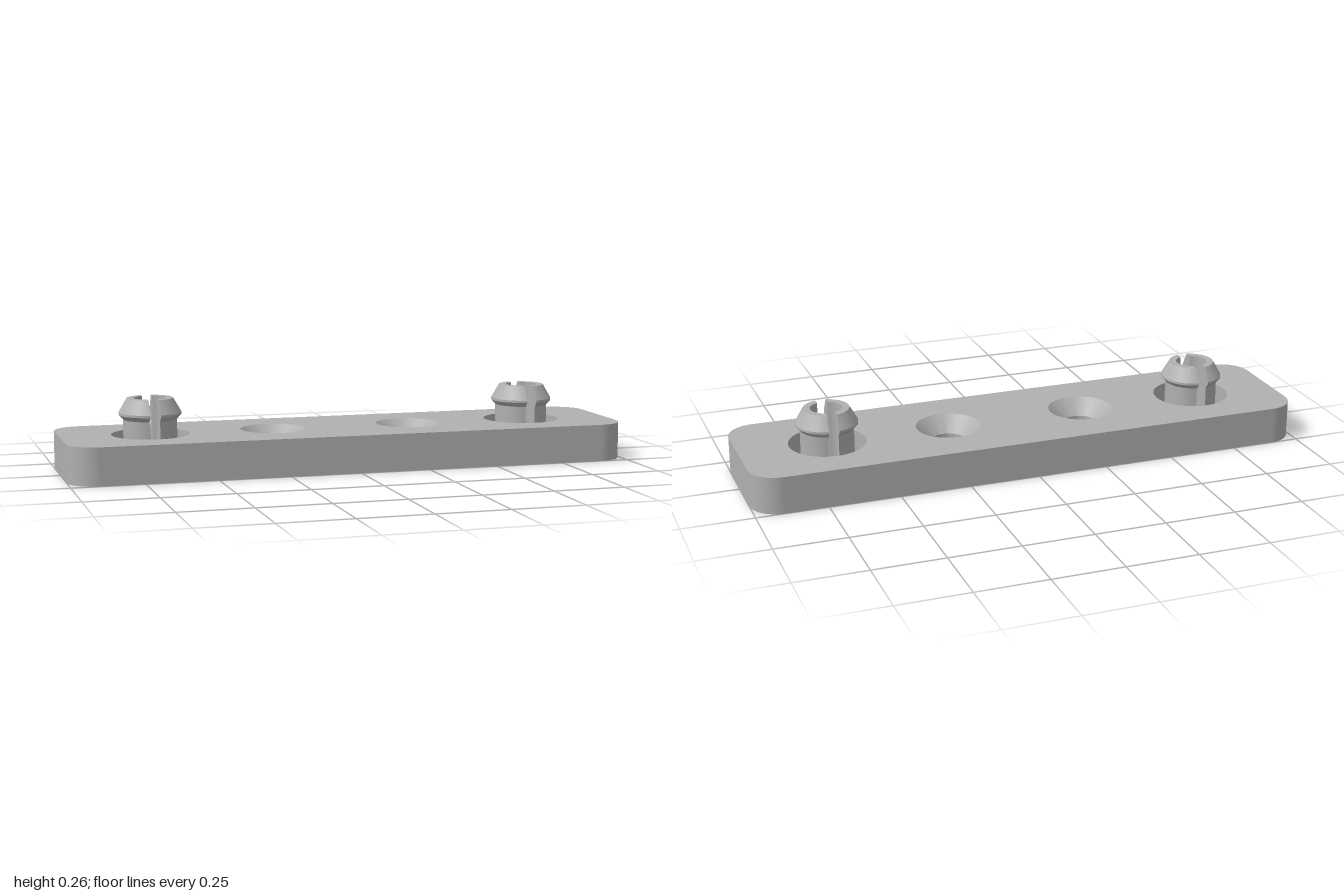
import * as THREE from 'three';
import { toCreasedNormals } from 'three/addons/utils/BufferGeometryUtils.js';

const HEIGHT = 0.131, HALF_X = 1, HALF_Z = 0.25, CORNER = 0.1;
const HOLE_X = 0.25, HOLE_TOP = 0.115, HOLE_BOTTOM = 0.06;
const PEG_X = 0.688, RECESS_R = 0.135, RECESS_Y = 0.05, BORE_R = 0.055, BORE_Y = 0.035;
const SLOT = 0.018; // half the width of the slot through each peg
const SEGMENTS = 48;

const vectors = (pairs) => pairs.map(([x, y]) => new THREE.Vector2(x, y));
const lathe = (pairs) => toCreasedNormals(new THREE.LatheGeometry(vectors(pairs), SEGMENTS), 0.5);

// Rounded rectangle as points with outward normals, counter-clockwise
function plateOutline() {
  const outline = [];
  [[1, 1], [-1, 1], [-1, -1], [1, -1]].forEach(([sx, sy], corner) => {
    for (let i = 0; i <= 12; i++) {
      const a = (corner + i / 12) * Math.PI / 2;
      const n = new THREE.Vector2(Math.cos(a), Math.sin(a));
      const p = new THREE.Vector2(sx * (HALF_X - CORNER), sy * (HALF_Z - CORNER)).addScaledVector(n, CORNER);
      outline.push({ p, n });
    }
  });
  return outline;
}

// Flat plate face with round holes given as [x, radius]
function plateFace(outline, holes) {
  const shape = new THREE.Shape(outline.map((o) => o.p));
  for (const [x, r] of holes) {
    shape.holes.push(new THREE.Path().absarc(x, 0, r, 0, Math.PI * 2, true));
  }
  return new THREE.ShapeGeometry(shape, SEGMENTS / 2);
}

// Smooth vertical wall around the plate
function plateWall(outline) {
  const position = [], normal = [], index = [], count = outline.length;
  outline.forEach(({ p, n }, i) => {
    for (const y of [0, HEIGHT]) {
      position.push(p.x, y, -p.y);
      normal.push(n.x, 0, -n.y);
    }
    const a = 2 * i, b = 2 * ((i + 1) % count);
    index.push(a, b, b + 1, a, b + 1, a + 1);
  });
  const geometry = new THREE.BufferGeometry();
  geometry.setAttribute('position', new THREE.Float32BufferAttribute(position, 3));
  geometry.setAttribute('normal', new THREE.Float32BufferAttribute(normal, 3));
  geometry.setIndex(index);
  return geometry;
}

// Outer shaft, barbed head, flat rim, then down the bore
const pegProfile = [
  [0.093, RECESS_Y], [0.093, 0.184], [0.108, 0.2], [0.108, 0.208],
  [0.08, 0.257], [BORE_R, 0.257], [BORE_R, RECESS_Y],
];

// Half a peg on the +x side, squeezed back so that the slot walls are parallel
function pegHalf() {
  const geometry = new THREE.LatheGeometry(vectors(pegProfile), SEGMENTS / 2, 0, Math.PI);
  const pos = geometry.attributes.position;
  for (let i = 0; i < pos.count; i++) {
    const r = Math.hypot(pos.getX(i), pos.getZ(i));
    const start = Math.asin(SLOT / r);
    const a = start + (1 - 2 * start / Math.PI) * Math.atan2(pos.getX(i), pos.getZ(i));
    pos.setX(i, r * Math.sin(a));
    pos.setZ(i, r * Math.cos(a));
  }
  return toCreasedNormals(geometry, 0.35);
}

// Flat slot wall on one side (side = 1 or -1 along z)
function slotWall(side) {
  const section = pegProfile.map(([r, y]) => [side * Math.sqrt(r * r - SLOT * SLOT), y]);
  const geometry = new THREE.ShapeGeometry(new THREE.Shape(vectors(section)));
  return geometry.rotateY(-Math.PI / 2).translate(SLOT, 0, 0);
}

export function createModel() {
  const model = new THREE.Group();
  model.name = 'mountingPlate';
  const grey = new THREE.MeshStandardMaterial({ color: 0xb0b0b0 });
  grey.name = 'grey';
  const add = (parent, name, geometry) => {
    const mesh = new THREE.Mesh(geometry, grey);
    mesh.name = name;
    parent.add(mesh);
    return mesh;
  };

  // Plate
  const outline = plateOutline();
  add(model, 'plateWall', plateWall(outline));
  const top = plateFace(outline, [
    [-HOLE_X, HOLE_TOP], [HOLE_X, HOLE_TOP], [-PEG_X, RECESS_R], [PEG_X, RECESS_R],
  ]);
  add(model, 'plateTop', top.rotateX(-Math.PI / 2).translate(0, HEIGHT, 0));
  const bottom = plateFace(outline, [[-HOLE_X, HOLE_BOTTOM], [HOLE_X, HOLE_BOTTOM]]);
  add(model, 'plateBottom', bottom.rotateX(Math.PI / 2));

  // Shared geometry of the holes and pegs
  const screwHole = lathe([[HOLE_TOP, HEIGHT], [HOLE_BOTTOM, 0.076], [HOLE_BOTTOM, 0]]);
  const recess = lathe([
    [RECESS_R, HEIGHT], [RECESS_R, RECESS_Y], [BORE_R, RECESS_Y], [BORE_R, BORE_Y], [0, BORE_Y],
  ]);
  const half = pegHalf();
  const walls = [slotWall(1), slotWall(-1)];

  for (const [side, label] of [[1, 'left'], [-1, 'right']]) {
    // Countersunk screw hole
    add(model, label + 'ScrewHole', screwHole).position.x = side * HOLE_X;

    // Split snap peg in its round recess
    const peg = new THREE.Group();
    peg.name = label + 'SnapPeg';
    peg.position.x = side * PEG_X;
    add(peg, 'pegRecess', recess);
    for (const turn of [0, Math.PI]) {
      const prong = new THREE.Group();
      prong.name = turn ? 'rightProng' : 'leftProng';
      prong.rotation.y = turn;
      add(prong, 'prongBody', half);
      walls.forEach((wall) => add(prong, 'slotWall', wall));
      peg.add(prong);
    }
    model.add(peg);
  }
  return model;
}
